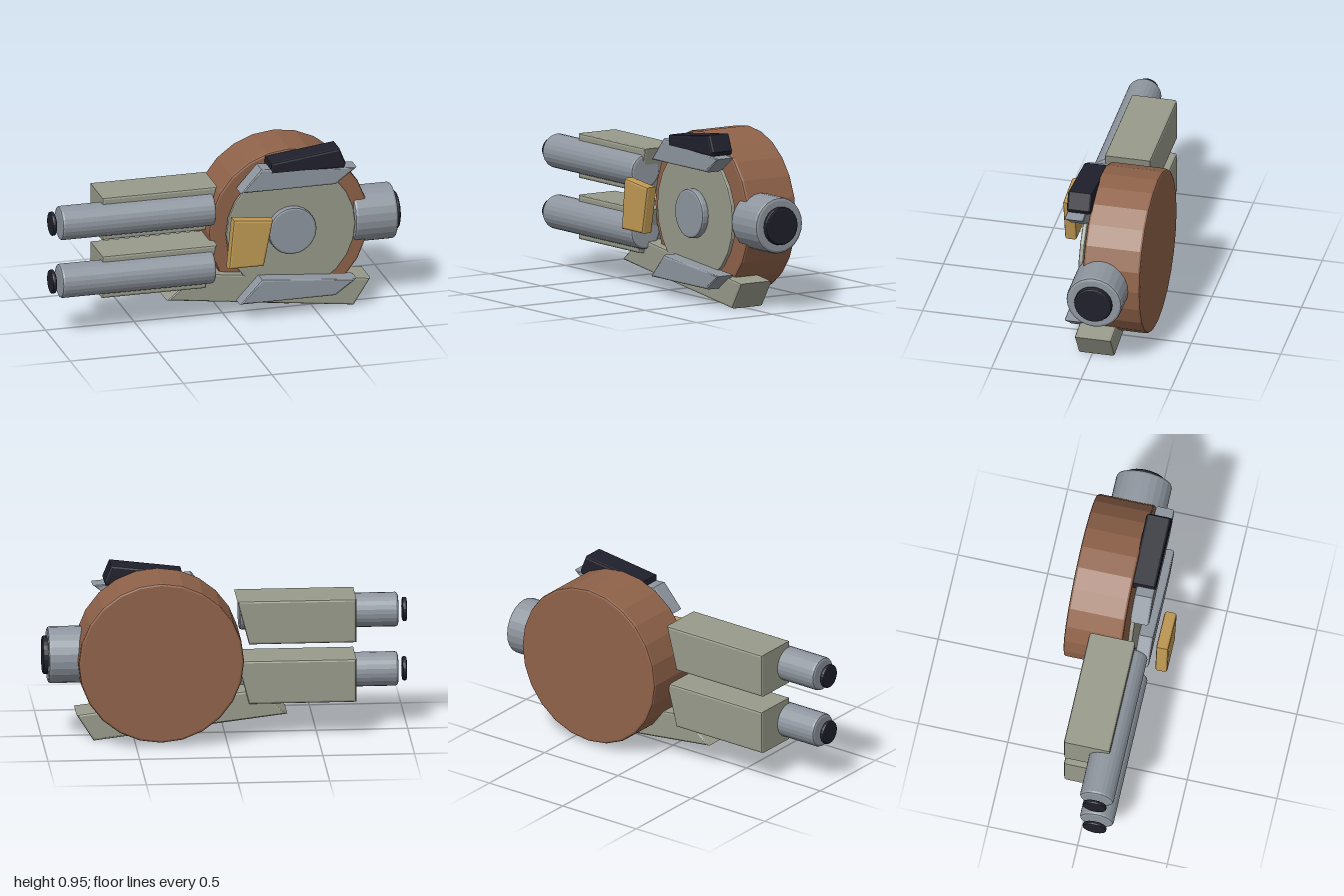
import * as THREE from 'three';

const paint = (name, color) => {
  const m = new THREE.MeshStandardMaterial({ color });
  m.name = name;
  return m;
};

export function createModel() {
  const group = new THREE.Group();
  const brown = paint('rust brown', 0x8f6249);
  const hull = paint('hull grey green', 0x989a8b);
  const steel = paint('blue steel', 0x8f969f);
  const gold = paint('gold', 0xc09a54);
  const dark = paint('near black', 0x1f202c);

  const add = (name, geometry, material) => {
    const mesh = new THREE.Mesh(geometry, material);
    mesh.name = name;
    group.add(mesh);
    return mesh;
  };

  // Outline extruded between z0 and z1, with softly bevelled edges
  const slab = (points, z0, z1, bevel = 0.013) => {
    const shape = new THREE.Shape(points.map(([x, y]) => new THREE.Vector2(x, y)));
    return new THREE.ExtrudeGeometry(shape, {
      depth: z1 - z0 - 2 * bevel, bevelEnabled: true, bevelThickness: bevel,
      bevelSize: bevel, bevelOffset: -bevel, bevelSegments: 2, curveSegments: 1,
    }).translate(0, 0, z0 + bevel);
  };

  // Faceted bevelled disc around (cx, cy)
  const disc = (r, z0, z1, bevel, cx = 0, cy = 0) => {
    const points = [];
    for (let i = 0; i < 24; i++) {
      const a = (i / 24) * Math.PI * 2;
      points.push([cx + r * Math.cos(a), cy + r * Math.sin(a)]);
    }
    return slab(points, z0, z1, bevel);
  };
  // The same, lying along x
  const rod = (r, x0, x1, bevel, y, z) =>
    disc(r, x0, x1, bevel).rotateY(Math.PI / 2).translate(0, y, z);

  // Main drum with its floating face plate and hub
  const cx = 0.365, cy = 0.482;
  add('drum', disc(0.452, -0.285, 0.036, 0.013, cx, cy), brown);
  add('facePlate', disc(0.365, 0.054, 0.08, 0.008, cx, cy), hull);
  add('hub', disc(0.136, 0.075, 0.121, 0.012, cx, cy + 0.002), steel);

  // Exhaust on the left side
  add('exhaust', rod(0.155, 0.73, 0.973, 0.015, cy, -0.065), steel);
  add('exhaustCore', rod(0.105, 0.95, 1.0, 0.01, cy, -0.065), dark);

  // Twin barrels with separate muzzles and slanted housings
  for (const [label, y, bottom, top] of [
    ['upper', 0.654, 0.535, 0.782],
    ['lower', 0.318, 0.198, 0.443],
  ]) {
    add(label + 'Barrel', rod(0.094, -0.952, -0.084, 0.014, y, 0.094), steel);
    add(label + 'Muzzle', rod(0.066, -1.0, -0.976, 0.008, y, 0.092), dark);
    add(label + 'Housing', slab([
      [-0.71, bottom], [-0.125, bottom], [-0.06, top], [-0.71, top],
    ], -0.142, 0.115), hull);
  }

  // Keel under the drum
  add('keel', slab([
    [-0.335, 0.135], [0.722, 0.004], [0.816, 0.152], [-0.165, 0.276],
  ], -0.125, 0.08), hull);

  // Slanted vanes above and below the hub
  add('upperVane', slab([
    [0.06, 0.745], [0.598, 0.745], [0.716, 0.834], [0.175, 0.877],
  ], 0.055, 0.16), steel);
  add('lowerVane', slab([
    [0.055, 0.1], [0.598, 0.1], [0.716, 0.188], [0.18, 0.235],
  ], 0.055, 0.16), steel);

  // Dark block on top and gold block in front
  add('topBlock', slab([
    [0.225, 0.84], [0.645, 0.838], [0.655, 0.862], [0.618, 0.953], [0.23, 0.905],
  ], 0.025, 0.162), dark);
  add('goldBlock', slab([
    [-0.043, 0.36], [0.157, 0.36], [0.209, 0.62], [-0.015, 0.644],
  ], 0.218, 0.286), gold);

  return group;
}
